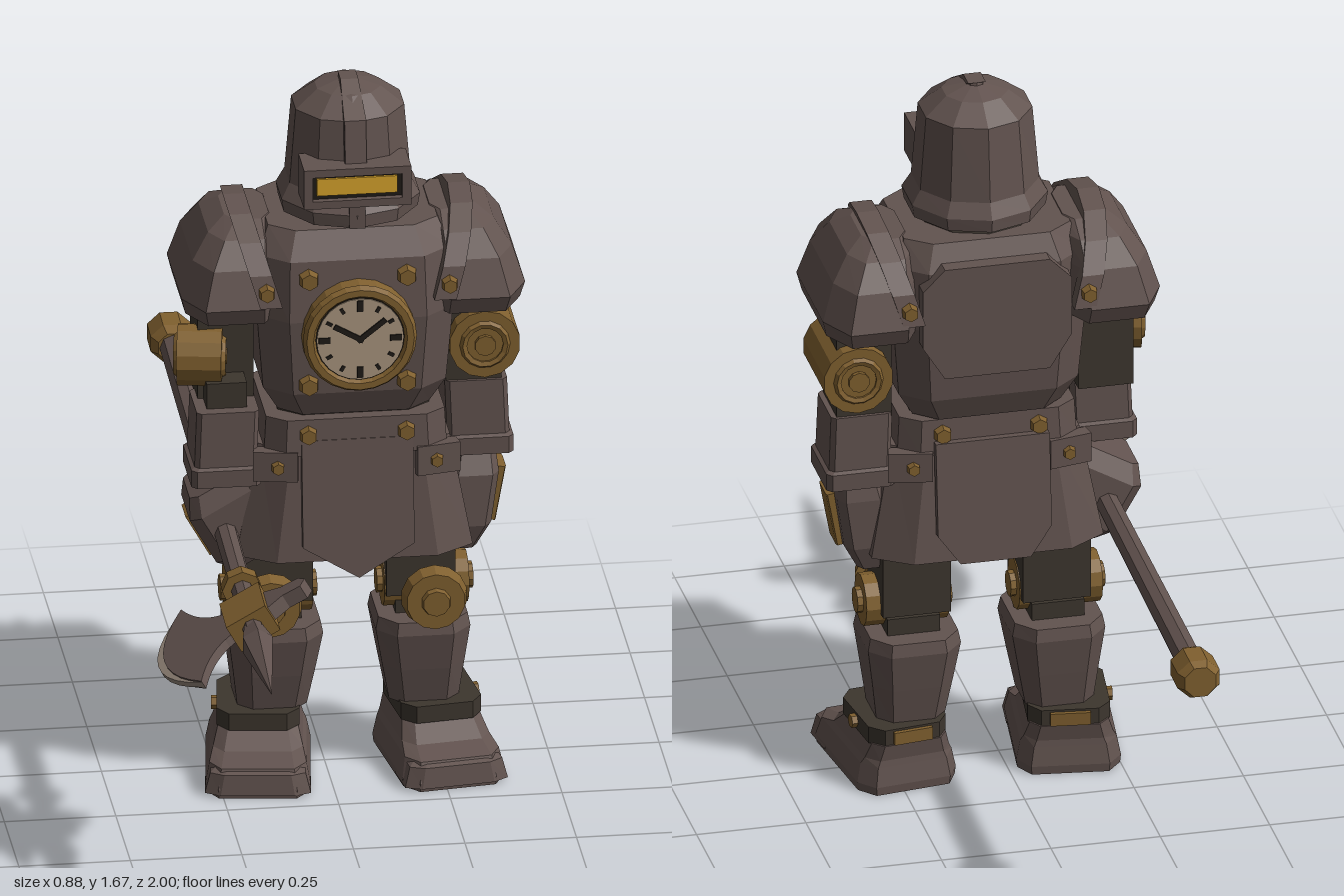
import * as THREE from 'three';

const mat = (name, color, side = THREE.FrontSide) => {
  const m = new THREE.MeshStandardMaterial({ color, flatShading: true, side });
  m.name = name;
  return m;
};

export function createModel() {
  const armour = mat('armour', 0x62534f), dark = mat('dark joint', 0x3d362e), bronze = mat('bronze', 0x80602f);
  const glow = mat('visor gold', 0xd8a42c), face = mat('clock face', 0xab977f), black = mat('black', 0x1e1a16);
  const edge = mat('blade edge', 0x94867a);

  const model = new THREE.Group();
  const body = new THREE.Group();
  body.name = 'body';
  body.position.x = 0.05;
  model.add(body);

  const add = (parent, name, geo, m, x = 0, y = 0, z = 0) => {
    const mesh = new THREE.Mesh(geo, m);
    mesh.name = name;
    mesh.position.set(x, y, z);
    parent.add(mesh);
    return mesh;
  };
  const box = (w, h, d) => new THREE.BoxGeometry(w, h, d);
  const cylY = (r1, r2, h, n = 8) => new THREE.CylinderGeometry(r1, r2, h, n);
  const cylZ = (r1, r2, h, n = 8) => cylY(r1, r2, h, n).rotateX(Math.PI / 2);
  const cylX = (r1, r2, h, n = 8) => cylY(r1, r2, h, n).rotateZ(-Math.PI / 2);

  // Outlines for cross-sections: a bevelled square or a round polygon
  const bevel = (c) => [[1, c - 1], [1, 1 - c], [1 - c, 1], [c - 1, 1], [-1, 1 - c], [-1, c - 1], [c - 1, -1], [1 - c, -1]];
  const round = (n) => Array.from({ length: n }, (_, i) => {
    const a = (i + 0.5) / n * Math.PI * 2;
    return [Math.cos(a), Math.sin(a)];
  });
  // Solid from stacked sections [y, centreX, centreZ, halfX, halfZ]
  const loft = (sections, outline = bevel(0.3)) => {
    const p = [], idx = [], n = outline.length, last = sections.length - 1;
    for (const [y, cx, cz, hx, hz] of sections) for (const [u, v] of outline) p.push(cx + u * hx, y, cz + v * hz);
    for (const k of [0, last]) p.push(sections[k][1], sections[k][0], sections[k][2]);
    const base = n * (last + 1);
    for (let j = 0; j < n; j++) {
      const k = (j + 1) % n;
      for (let i = 0; i < last; i++) {
        const a = i * n + j, b = a + n, c = (i + 1) * n + k, d = i * n + k;
        idx.push(a, b, c, a, c, d);
      }
      idx.push(base, j, k, base + 1, last * n + k, last * n + j);
    }
    const g = new THREE.BufferGeometry();
    g.setAttribute('position', new THREE.Float32BufferAttribute(p, 3));
    g.setIndex(idx);
    g.computeVertexNormals();
    return g;
  };
  const poly = (pts) => new THREE.Shape(pts.map(([x, y]) => new THREE.Vector2(x, y)));
  const plate = (shape, depth, curveSegments = 8) =>
    new THREE.ExtrudeGeometry(shape, { depth, bevelEnabled: false, curveSegments });
  const bolt = (x, y, z, dir = 1, r = 0.024) => {
    add(body, 'bolt', cylZ(r * 0.75, r, 0.03, 6), bronze, x, y, z).rotation.y = dir > 0 ? 0 : Math.PI;
  };

  // Torso and waist
  add(body, 'breastplate', loft([[0.91, 0, 0.01, 0.17, 0.15], [0.97, 0, 0.01, 0.205, 0.175],
    [1.15, 0, 0.01, 0.22, 0.19], [1.29, 0, 0.005, 0.215, 0.18], [1.35, 0, 0, 0.19, 0.145]]), armour);
  add(body, 'backPlate', plate(poly([[-0.12, 1.04], [0.12, 1.04], [0.17, 1.12], [0.17, 1.26], [0.12, 1.31], [-0.12, 1.31],
    [-0.17, 1.26], [-0.17, 1.12]]), 0.04), armour, 0, 0, -0.2);
  add(body, 'waist', loft([[0.85, 0, 0.02, 0.17, 0.13], [0.93, 0, 0.02, 0.17, 0.13]]), dark);
  add(body, 'belt', loft([[0.82, 0, 0.025, 0.205, 0.16], [0.905, 0, 0.025, 0.2, 0.155]], bevel(0.22)), armour);
  for (const x of [-0.11, 0.11]) {
    bolt(x, 0.87, 0.185);
    bolt(x, 0.87, -0.135, -1);
    for (const y of [1.25, 0.995]) bolt(x, y, 0.195, 1, 0.026);
  }

  // Clock in the chest
  const clock = new THREE.Group();
  clock.name = 'clock';
  clock.position.set(0, 1.118, 0.2);
  body.add(clock);
  add(clock, 'clockCase', cylZ(0.125, 0.13, 0.05, 20), bronze);
  add(clock, 'clockRim', new THREE.TorusGeometry(0.113, 0.015, 6, 24), bronze, 0, 0, 0.026);
  add(clock, 'clockBezel', cylZ(0.104, 0.104, 0.006, 24), black, 0, 0, 0.026);
  add(clock, 'clockFace', cylZ(0.097, 0.097, 0.006, 24), face, 0, 0, 0.029);
  for (let i = 0; i < 12; i++) {
    const a = i / 12 * Math.PI * 2, big = i % 3 === 0;
    add(clock, 'hourMark', box(big ? 0.014 : 0.008, big ? 0.026 : 0.014, 0.004), black,
      Math.sin(a) * 0.08, Math.cos(a) * 0.08, 0.033).rotation.z = -a;
  }
  for (const [a, len] of [[-1.05, 0.075], [0.9, 0.08]])
    add(clock, 'clockHand', box(0.012, len, 0.005).translate(0, len / 2 - 0.008, 0), black, 0, 0, 0.034).rotation.z = -a;

  // Helmet
  add(body, 'neck', cylY(0.12, 0.14, 0.06, 10), dark, 0, 1.36, 0.01);
  add(body, 'helmet', loft([[1.365, 0, 0.018, 0.158, 0.165], [1.395, 0, 0.018, 0.163, 0.168], [1.43, 0, 0.015, 0.143, 0.146],
    [1.605, 0, 0.015, 0.128, 0.128], [1.645, 0, 0.015, 0.075, 0.075], [1.66, 0, 0.015, 0.02, 0.02]], round(10)), armour);
  add(body, 'crestFront', loft([[1.49, 0, 0.14, 0.025, 0.025], [1.61, 0, 0.125, 0.025, 0.022], [1.668, 0, 0.02, 0.02, 0.025]],
    bevel(0.05)), armour);
  add(body, 'crestBead', cylY(0.018, 0.024, 0.02, 8), armour, 0, 1.657, 0.015);
  add(body, 'chinRidge', box(0.035, 0.06, 0.03), armour, 0, 1.395, 0.17);
  add(body, 'visorRecess', box(0.2, 0.06, 0.08), black, 0, 1.467, 0.135);
  add(body, 'visorSlot', box(0.18, 0.04, 0.008), glow, 0, 1.467, 0.177);
  for (const y of [1.428, 1.504]) add(body, 'visorBar', box(0.24, 0.018, 0.1), armour, 0, y, 0.14);
  for (const x of [-0.11, 0.11]) add(body, 'visorEnd', box(0.02, 0.076, 0.1), armour, x, 1.466, 0.14);

  // Skirt
  add(body, 'skirt', loft([[0.565, 0, 0.015, 0.265, 0.175], [0.83, 0, 0.02, 0.215, 0.15]], bevel(0.32)), armour);
  const flap = poly([[-0.125, 0.25], [-0.125, 0], [0, -0.075], [0.125, 0], [0.125, 0.25]]);
  add(body, 'frontFlap', plate(flap, 0.02), armour, 0, 0.605, 0.19).rotation.x = -0.1;
  const backFlap = add(body, 'backFlap', plate(poly([[-0.13, 0.25], [-0.13, 0.03], [-0.08, -0.04], [0.08, -0.04], [0.13, 0.03],
    [0.13, 0.25]]), 0.02), armour, 0, 0.605, -0.16);
  backFlap.rotation.set(0.1, Math.PI, 0, 'YXZ');
  backFlap.rotation.x = -0.1;

  for (const s of [-1, 1]) {
    // Hip tabs
    for (const [z, d] of [[0.165, 1], [-0.12, -1]]) {
      add(body, 'hipTab', box(0.1, 0.07, 0.035), armour, s * 0.18, 0.795, z).rotation.y = s * d * 0.2;
      bolt(s * 0.178, 0.795, z + d * 0.018, d, 0.018);
    }

    // Shoulder armour and the arched strap beside it
    add(body, 'pauldron', loft([[1.145, s * 0.27, -0.015, 0.105, 0.195], [1.185, s * 0.275, -0.015, 0.11, 0.212],
      [1.27, s * 0.262, -0.015, 0.096, 0.185], [1.325, s * 0.245, -0.015, 0.075, 0.14],
      [1.352, s * 0.23, -0.015, 0.05, 0.085]], bevel(0.4)), armour);
    const arch = [];
    for (const [rz, ry, flip] of [[0.215, 0.19, 0], [0.18, 0.15, 1]])
      for (let i = 0; i <= 8; i++) {
        const a = Math.PI * (flip ? 8 - i : i) / 8;
        arch.push([Math.cos(a) * rz, Math.sin(a) * ry]);
      }
    const strap = plate(poly(arch), 0.05).translate(0, 0, -0.025).rotateY(-Math.PI / 2);
    const sp = strap.attributes.position;
    for (let i = 0; i < sp.count; i++) sp.setX(i, sp.getX(i) + s * sp.getY(i) * 0.3);
    add(body, 'shoulderStrap', strap, armour, s * 0.195, 1.19, -0.01);
    bolt(s * 0.205, 1.225, 0.2, 1, 0.022);
    bolt(s * 0.205, 1.225, -0.22, -1, 0.022);

    // Arm: one hangs, the other reaches forward to the pole
    const bent = s < 0, fz = bent ? 0.08 : -0.03;
    add(body, 'upperArm', box(0.125, 0.26, 0.13), dark, s * 0.28, 1.04, bent ? 0 : -0.03);
    const elbow = new THREE.Group();
    elbow.name = 'elbow';
    elbow.position.set(s * (bent ? 0.335 : 0.3), 1.02, bent ? 0.05 : -0.025);
    if (bent) elbow.rotation.set(0, -1.75, 0.12);
    body.add(elbow);
    const er = bent ? 0.07 : 0.08, el = bent ? 0.1 : 0.2;
    add(elbow, 'elbowDrum', cylZ(er, er, el, 14), bronze);
    for (const d of [-1, 1]) {
      add(elbow, 'elbowRing', new THREE.TorusGeometry(er * 0.6, 0.009, 5, 14), bronze, 0, 0, d * el / 2);
      add(elbow, 'elbowHub', cylZ(er * 0.3, er * 0.3, 0.02, 10), bronze, 0, 0, d * el / 2);
    }
    add(body, 'forearmJoint', box(0.09, 0.1, 0.09), dark, s * 0.285, 0.93, fz);
    add(body, 'forearm', loft([[0.745, s * 0.29, fz, 0.078, 0.085], [0.785, s * 0.29, fz, 0.078, 0.085],
      [0.79, s * 0.29, fz, 0.07, 0.076], [0.92, s * 0.285, fz, 0.07, 0.073]], bevel(0.15)), armour);

    // Leg
    add(body, 'thigh', box(0.155, 0.2, 0.15), dark, s * 0.16, 0.51, -0.025);
    add(body, 'kneeAxle', cylX(0.06, 0.06, 0.19, 12), bronze, s * 0.175, 0.423, -0.02);
    for (const d of [-1, 1]) add(body, 'kneeHub', cylX(0.03, 0.03, 0.02, 10), bronze, s * 0.175 + d * 0.098, 0.423, -0.02);
    add(body, 'kneeDrum', cylZ(0.055, 0.06, 0.13, 12), bronze, s * 0.185, 0.42, 0.04);
    add(body, 'kneeCap', cylZ(0.066, 0.075, 0.035, 14), bronze, s * 0.185, 0.42, 0.1);
    add(body, 'kneeBoss', cylZ(0.03, 0.036, 0.02, 10), bronze, s * 0.185, 0.42, 0.12);
    add(body, 'calf', box(0.12, 0.08, 0.12), dark, s * 0.165, 0.36, -0.03);
    add(body, 'shin', loft([[0.15, s * 0.17, -0.03, 0.078, 0.083], [0.24, s * 0.167, -0.027, 0.092, 0.103],
      [0.33, s * 0.165, -0.025, 0.106, 0.12], [0.36, s * 0.165, -0.025, 0.1, 0.115]], bevel(0.4)), armour);

    // Foot, turned slightly outward
    const foot = new THREE.Group();
    foot.name = 'foot';
    foot.position.set(s * 0.195, 0, -0.03);
    foot.rotation.y = s * 0.13;
    body.add(foot);
    add(foot, 'ankleBand', loft([[0.115, 0, 0, 0.092, 0.112], [0.155, 0, 0, 0.092, 0.112]]), dark);
    add(foot, 'ankleBuckle', box(0.09, 0.03, 0.02), bronze, 0, 0.135, -0.112);
    add(foot, 'ankleBolt', cylX(0.016, 0.016, 0.02, 6), bronze, s * 0.095, 0.135, 0);
    add(foot, 'sole', loft([[0, 0, 0.055, 0.115, 0.172], [0.02, 0, 0.055, 0.117, 0.174], [0.065, 0, 0.05, 0.108, 0.162],
      [0.08, 0, 0.02, 0.1, 0.13], [0.118, 0, -0.008, 0.088, 0.108]], bevel(0.25)), armour);
    add(foot, 'toeCap', loft([[0.008, 0, 0.17, 0.118, 0.062], [0.055, 0, 0.168, 0.106, 0.058], [0.07, 0, 0.15, 0.08, 0.04]]), armour);
  }

  // Hanging hand with its back plate
  add(body, 'leftHand', loft([[0.52, 0.245, -0.005, 0.04, 0.06], [0.58, 0.262, -0.005, 0.055, 0.08],
    [0.7, 0.28, -0.01, 0.055, 0.08], [0.75, 0.285, -0.02, 0.045, 0.06]]), armour);
  const badge = add(body, 'leftHandPlate', loft([[-0.065, 0, 0, 0.014, 0.037], [0.065, 0, 0, 0.014, 0.037]], bevel(0.2)),
    bronze, 0.328, 0.64, -0.005);
  badge.rotation.z = -0.18;

  // Fist on the pole
  const fist = new THREE.Group();
  fist.name = 'rightFist';
  fist.position.set(-0.24, 0.645, 0.03);
  fist.rotation.z = 0.52;
  body.add(fist);
  add(fist, 'gauntlet', loft([[-0.1, 0, 0, 0.085, 0.075], [-0.06, 0, 0, 0.11, 0.1], [0.06, 0, 0, 0.11, 0.1],
    [0.1, 0, 0, 0.085, 0.075]], bevel(0.25)), armour);
  add(fist, 'gauntletPlate', box(0.02, 0.11, 0.07), bronze, -0.108, 0, 0);

  // Poleaxe
  const weapon = new THREE.Group();
  weapon.name = 'poleaxe';
  weapon.position.set(-0.235, 0.618, 0);
  weapon.rotation.set(0.012, -0.013, 0);
  model.add(weapon);
  add(weapon, 'pole', cylZ(0.024, 0.031, 1.62, 8), armour, 0, 0, -0.12);
  add(weapon, 'buttCap', loft([[-1, 0, 0, 0.038, 0.038], [-0.98, 0, 0, 0.052, 0.048], [-0.91, 0, 0, 0.052, 0.048],
    [-0.885, 0, 0, 0.036, 0.036]], round(8)).rotateX(Math.PI / 2), bronze);
  add(weapon, 'collar', cylZ(0.045, 0.045, 0.035, 8), bronze, 0, 0, 0.42);
  add(weapon, 'spearPoint', loft([[0.64, 0, 0, 0.022, 0.022], [0.73, 0, 0, 0.038, 0.038], [1, 0, 0, 0.001, 0.001]],
    round(6)).rotateX(Math.PI / 2), armour);

  const head = new THREE.Group();
  head.name = 'axeHead';
  head.position.z = 0.58;
  head.rotation.z = 0.52;
  weapon.add(head);
  add(head, 'socket', box(0.1, 0.07, 0.13), bronze);
  const flat = (shape, t) => plate(shape, t, 10).translate(0, 0, -t / 2).rotateX(-Math.PI / 2);
  const blade = new THREE.Shape();
  blade.moveTo(-0.04, 0.055);
  blade.quadraticCurveTo(-0.11, 0.07, -0.145, 0.195);
  blade.quadraticCurveTo(-0.285, 0, -0.145, -0.195);
  blade.quadraticCurveTo(-0.11, -0.07, -0.04, -0.055);
  add(head, 'blade', flat(blade, 0.022), armour);
  const rim = new THREE.Shape();
  rim.moveTo(-0.145, 0.195);
  rim.quadraticCurveTo(-0.32, 0, -0.145, -0.195);
  rim.quadraticCurveTo(-0.285, 0, -0.145, 0.195);
  add(head, 'cuttingEdge', flat(rim, 0.014), edge);
  add(head, 'backSpike', flat(poly([[0.045, -0.045], [0.09, -0.025], [0.135, -0.028], [0.15, -0.005], [0.135, 0.015],
    [0.09, 0.02], [0.045, 0.045]]), 0.035), armour);

  return model;
}
